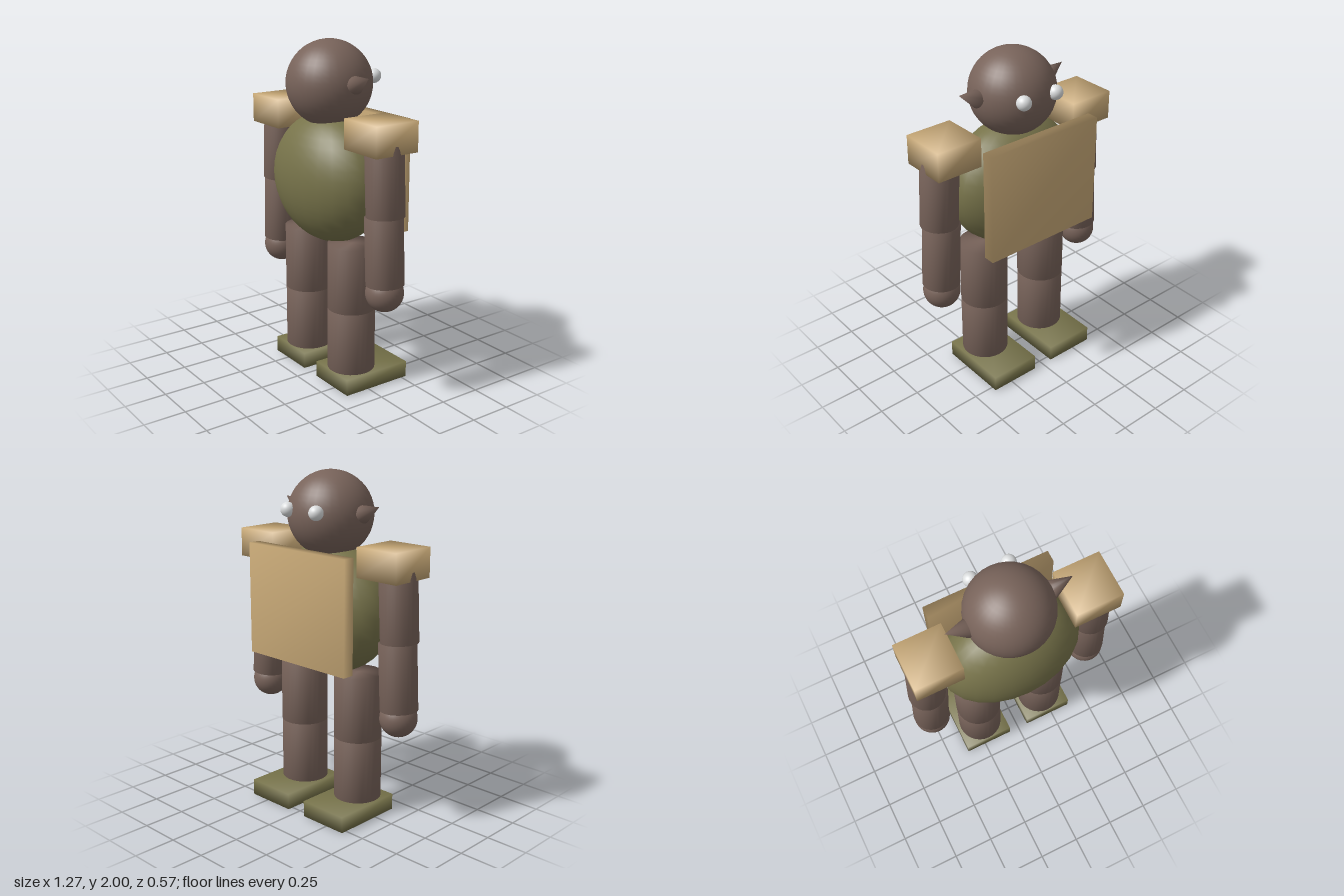
import * as THREE from 'three';
import { mergeVertices } from 'three/addons/utils/BufferGeometryUtils.js';

const material = (name, color) => {
  const m = new THREE.MeshStandardMaterial({ color });
  m.name = name;
  return m;
};

// Weld corners so that shading runs smoothly over the edges
function welded(geometry) {
  geometry.deleteAttribute('uv');
  geometry.deleteAttribute('normal');
  const g = mergeVertices(geometry, 1e-4);
  g.computeVertexNormals();
  return g;
}

export function createModel() {
  const skin = material('brown skin', 0x78635a);
  const olive = material('olive cloth', 0x77734a);
  const tan = material('tan armour', 0xc8a977);
  const white = material('eye white', 0xdcdedf);

  const model = new THREE.Group();
  model.name = 'armouredCreature';
  const Z = 0.013; // depth of the body axis

  function add(name, geometry, mat, x, y, z, tilt = 0) {
    const mesh = new THREE.Mesh(geometry, mat);
    mesh.name = name;
    mesh.position.set(x, y, z);
    mesh.rotation.z = tilt;
    model.add(mesh);
    return mesh;
  }
  const box = (w, h, d) => welded(new THREE.BoxGeometry(w, h, d));
  const limb = (r, h) => welded(new THREE.CylinderGeometry(r, r, h, 28));
  const ball = (r) => new THREE.SphereGeometry(r, 32, 24);

  // Torso, head and chest plate (the face looks towards -z)
  const torso = new THREE.SphereGeometry(1, 24, 20);
  torso.scale(0.422, 0.378, 0.27);
  add('torso', torso, olive, 0, 1.208, Z);
  add('head', ball(0.247), skin, 0, 1.753, Z);
  add('chestPlate', box(0.75, 0.655, 0.07), tan, 0, 1.249, -0.239);

  // Paired parts
  for (const s of [1, -1]) {
    const side = s > 0 ? 'left' : 'right';
    const part = (name, geometry, mat, x, y, z, tilt = 0) =>
      add(side + name, geometry, mat, s * x, y, z, s * tilt);

    // Head details
    part('Eye', ball(0.042), white, 0.11, 1.787, -0.217);
    const earTilt = 0.39;
    part('Ear', welded(new THREE.ConeGeometry(0.053, 0.13, 20)), skin,
      0.301, 1.796, Z, earTilt - Math.PI / 2);

    // Arm, leaning slightly outwards
    part('Pauldron', box(0.28, 0.17, 0.28), tan, 0.47, 1.535, 0.01);
    part('UpperArm', limb(0.108, 0.395), skin, 0.513, 1.296, Z, 0.05);
    part('Forearm', limb(0.108, 0.385), skin, 0.519, 0.9, Z, 0.05);
    part('Hand', ball(0.108), skin, 0.526, 0.658, Z);

    // Leg
    part('Thigh', limb(0.14, 0.39), skin, 0.22, 0.667, Z);
    part('Shin', limb(0.139, 0.38), skin, 0.22, 0.282, Z);
    part('Foot', box(0.31, 0.097, 0.437), olive, 0.22, 0.0485, -0.0645);
  }
  return model;
}
